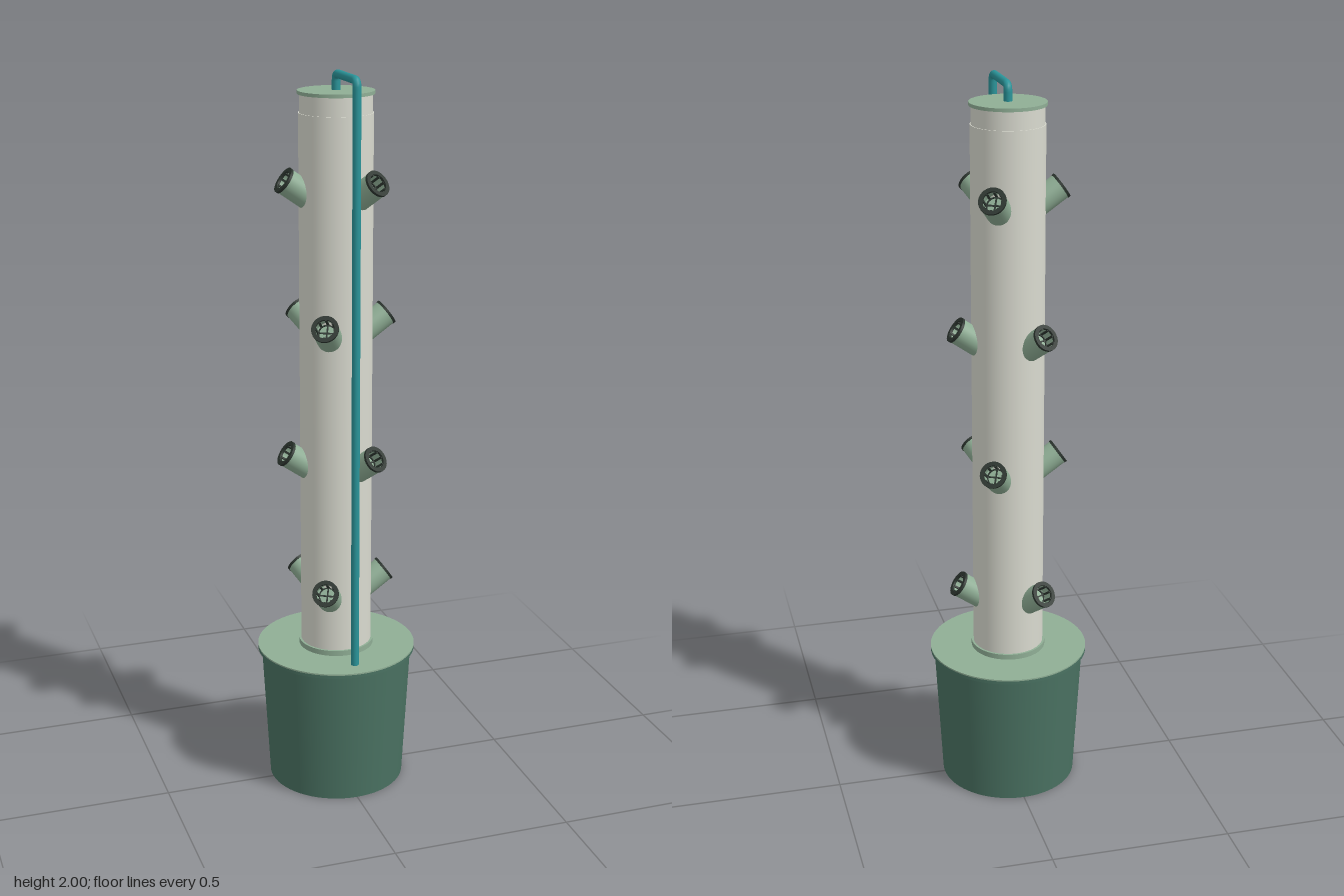
import * as THREE from 'three';

const mat = (name, color) => {
  const m = new THREE.MeshStandardMaterial({ color });
  m.name = name;
  return m;
};

export function createModel() {
  const ivory = mat('ivory', 0xd9dacf);
  const sage = mat('sage', 0x8fae95);
  const green = mat('deepGreen', 0x4a7262);
  const dark = mat('darkNet', 0x2c352f);
  const teal = mat('teal', 0x2a9499);

  const model = new THREE.Group();
  model.name = 'planterTower';

  const add = (parent, name, geometry, material, x = 0, y = 0, z = 0) => {
    const mesh = new THREE.Mesh(geometry, material);
    mesh.name = name;
    mesh.position.set(x, y, z);
    parent.add(mesh);
    return mesh;
  };
  const disc = (parent, name, r, y0, y1, material, seg = 64) =>
    add(parent, name, new THREE.CylinderGeometry(r, r, y1 - y0, seg), material, 0, (y0 + y1) / 2);
  // Rectangular ring section turned around y
  const ring = (rIn, rOut, y0, y1, seg = 32) => {
    const pts = [[rIn, y0], [rOut, y0], [rOut, y1], [rIn, y1], [rIn, y0]];
    // Doubled corner points keep the edges crisp
    const sharp = pts.flatMap(([r, y], i) =>
      i === 0 || i === pts.length - 1 ? [new THREE.Vector2(r, y)] : [new THREE.Vector2(r, y), new THREE.Vector2(r, y)]);
    return new THREE.LatheGeometry(sharp, seg);
  };

  // Reservoir bucket with rim and lid
  add(model, 'reservoir', new THREE.CylinderGeometry(0.211, 0.19, 0.39, 64), green, 0, 0.195);
  disc(model, 'reservoirRim', 0.221, 0.387, 0.396, green);
  disc(model, 'reservoirLid', 0.221, 0.396, 0.4, sage);

  // Column, collar and cap
  disc(model, 'collar', 0.104, 0.4, 0.415, sage);
  disc(model, 'column', 0.098, 0.4, 1.89, ivory);
  disc(model, 'capBand', 0.0955, 1.89, 1.938, ivory);
  disc(model, 'capLid', 0.101, 1.938, 1.947, sage);

  // Water pipe: up the front, over the top and down into the cap
  const v = (y, z) => new THREE.Vector3(0, y, z);
  const top = 1.989, front = 0.165, bend = 0.018;
  const path = new THREE.CurvePath();
  path.add(new THREE.LineCurve3(v(0.39, front), v(top - bend, front)));
  path.add(new THREE.QuadraticBezierCurve3(v(top - bend, front), v(top, front), v(top, front - bend)));
  path.add(new THREE.LineCurve3(v(top, front - bend), v(top, bend)));
  path.add(new THREE.QuadraticBezierCurve3(v(top, bend), v(top, 0), v(top - bend, 0)));
  path.add(new THREE.LineCurve3(v(top - bend, 0), v(1.94, 0)));
  add(model, 'waterPipe', new THREE.TubeGeometry(path, 300, 0.011, 16), teal);

  // Shared pot geometry, local y runs out through the mouth (y = 0)
  const tilt = THREE.MathUtils.degToRad(35);
  const sleeveGeo = ring(0.0315, 0.035, -0.1, -0.003);
  const rimGeo = ring(0.0255, 0.0365, -0.005, 0.002);
  const hoopGeo = ring(0.021, 0.024, -0.034, -0.03);
  const ribGeo = new THREE.BoxGeometry(0.003, 0.034, 0.006);
  const barGeo = new THREE.BoxGeometry(0.046, 0.003, 0.004);
  const floorGeo = new THREE.CylinderGeometry(0.032, 0.032, 0.003, 32);

  const makePot = () => {
    const pot = new THREE.Group();
    pot.name = 'plantingPort';
    add(pot, 'sleeve', sleeveGeo, sage);
    add(pot, 'sleeveFloor', floorGeo, sage, 0, -0.04);
    add(pot, 'netCupRim', rimGeo, dark);
    add(pot, 'netCupHoop', hoopGeo, dark);
    for (let i = 0; i < 8; i++) {
      const a = (i * Math.PI) / 4;
      const rib = add(pot, 'netCupRib', ribGeo, dark, Math.cos(a) * 0.0245, -0.018, -Math.sin(a) * 0.0245);
      rib.rotation.y = a;
    }
    for (const a of [0, Math.PI / 2]) {
      add(pot, 'netCupBar', barGeo, dark, 0, -0.032).rotation.y = a;
    }
    return pot;
  };

  // Four tiers of three ports, every other tier turned by half a turn
  [0.604, 0.977, 1.35, 1.722].forEach((y, tier) => {
    for (let i = 0; i < 3; i++) {
      const arm = new THREE.Group();
      arm.name = 'portArm';
      arm.rotation.y = (i * 2 * Math.PI) / 3 + (tier % 2) * Math.PI;
      const pot = makePot();
      pot.position.set(0.143, y, 0);
      pot.rotation.z = tilt - Math.PI / 2;
      arm.add(pot);
      model.add(arm);
    }
  });

  return model;
}
